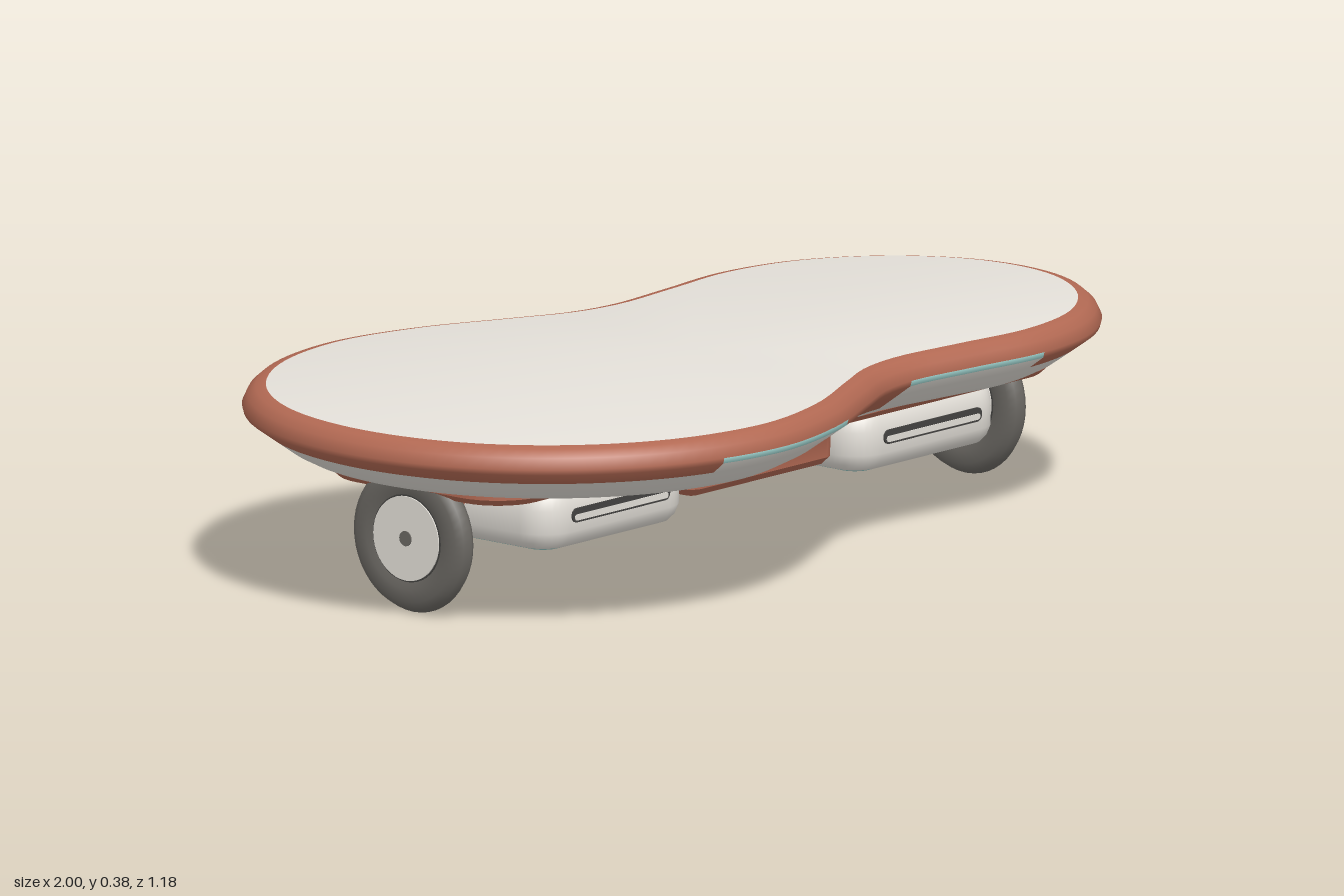
import * as THREE from 'three';
import { toCreasedNormals } from 'three/addons/utils/BufferGeometryUtils.js';

const mat = (name, color) => Object.assign(new THREE.MeshStandardMaterial({ color }), { name });
const terracotta = mat('terracotta', 0xb26953);
const lightGrey = mat('light grey', 0xe4e0d9);
const teal = mat('teal', 0xa0d3cf);
const tyreGrey = mat('tyre grey', 0x6a6762);
const darkGrey = mat('dark grey', 0x444341);

// Rounded rectangle outline in x and z
function roundedRect(w, d, r, n = 8) {
  const pts = [];
  for (let c = 0; c < 4; c++) {
    const sx = c === 0 || c === 3 ? 1 : -1, sz = c < 2 ? 1 : -1;
    for (let i = 0; i <= n; i++) {
      const a = (c + i / n) * Math.PI / 2;
      pts.push(new THREE.Vector2(sx * (w / 2 - r) + r * Math.cos(a), sz * (d / 2 - r) + r * Math.sin(a)));
    }
  }
  return pts;
}

// Stacks inset copies of an outline from top to bottom.
// rings: [inset (null = centre point), y, material or rule by x for the band below]
function stack(name, outline, rings, crease = 0.6) {
  const n = outline.length;
  const normals = outline.map((p, i) => {
    const t = outline[(i + 1) % n].clone().sub(outline[(i + n - 1) % n]).normalize();
    return new THREE.Vector2(t.y, -t.x);
  });
  const point = ([inset, y], i) => inset === null ? [0, y, 0]
    : [outline[i].x - normals[i].x * inset, y, outline[i].y - normals[i].y * inset];
  const byMaterial = new Map();
  for (let k = 0; k < rings.length - 1; k++) {
    for (let i = 0; i < n; i++) {
      const j = (i + 1) % n, rule = rings[k][2];
      const m = typeof rule === 'function' ? rule((outline[i].x + outline[j].x) / 2) : rule;
      if (!byMaterial.has(m)) byMaterial.set(m, []);
      const a = point(rings[k], i), b = point(rings[k], j);
      const c = point(rings[k + 1], j), d = point(rings[k + 1], i);
      if (rings[k][0] !== null) byMaterial.get(m).push(...a, ...b, ...c);
      if (rings[k + 1][0] !== null) byMaterial.get(m).push(...a, ...c, ...d);
    }
  }
  const geo = new THREE.BufferGeometry(), all = [], mats = [...byMaterial.keys()];
  mats.forEach((m, i) => {
    const v = byMaterial.get(m);
    geo.addGroup(all.length / 3, v.length / 3, i);
    for (const x of v) all.push(x);
  });
  geo.setAttribute('position', new THREE.Float32BufferAttribute(all, 3));
  const mesh = new THREE.Mesh(toCreasedNormals(geo, crease), mats);
  mesh.name = name;
  return mesh;
}

function add(parent, name, geo, material, x = 0, y = 0, z = 0) {
  const mesh = new THREE.Mesh(geo, material);
  mesh.name = name;
  mesh.position.set(x, y, z);
  parent.add(mesh);
  return mesh;
}

function makeDeck() {
  // Half outline from the narrow end to the wide end, then mirrored
  const half = [[1, 0], [0.973, 0.14], [0.88, 0.28], [0.73, 0.385], [0.55, 0.425], [0.36, 0.41],
    [0.2, 0.398], [0.1, 0.415], [0, 0.46], [-0.2, 0.55], [-0.41, 0.59], [-0.64, 0.543],
    [-0.83, 0.415], [-0.955, 0.23], [-1, 0]];
  const loop = [...half, ...half.slice(1, -1).reverse().map(([x, z]) => [x, -z])];
  const curve = new THREE.CatmullRomCurve3(loop.map(([x, z]) => new THREE.Vector3(x, 0, z)), true);
  const outline = curve.getSpacedPoints(160).slice(0, 160).map(p => new THREE.Vector2(p.x, p.z));

  // Teal edge strips sit between the terracotta waist and ends
  const waist = x => x > -0.14 && x < 0.2;
  const strip = x => !waist(x) && x > -0.55 && x < 0.55;
  const edge = x => strip(x) ? teal : terracotta;
  const outerBevel = x => strip(x) ? lightGrey : terracotta;
  const innerBevel = x => waist(x) ? terracotta : lightGrey;
  return stack('deck', outline, [
    [null, 0.384, lightGrey], [0.046, 0.384, terracotta], [0.026, 0.38, terracotta],
    [0.01, 0.366, terracotta], [0, 0.345, edge], [0.003, 0.334, outerBevel],
    [0.036, 0.31, innerBevel], [0.078, 0.28, lightGrey], [0.105, 0.266, lightGrey], [null, 0.266]], 0.9);
}

// Rounded pod with a coloured base and a slot on front and back
function makePod(side) {
  const pod = new THREE.Group();
  pod.name = side > 0 ? 'leftPod' : 'rightPod';
  pod.add(stack('podBody', roundedRect(0.43, 0.44, 0.07), [
    [null, 0.245, lightGrey], [0.02, 0.245, lightGrey], [0.006, 0.225, lightGrey],
    [0, 0.2, lightGrey], [0, 0.155, lightGrey], [0.008, 0.135, lightGrey],
    [0.02, 0.123, teal], [0.035, 0.118, teal], [null, 0.118]], 0.9));
  const slot = (w, h, depth) => {
    const s = new THREE.Shape(), r = h / 2, e = w / 2 - r;
    s.absarc(e, 0, r, -Math.PI / 2, Math.PI / 2);
    s.absarc(-e, 0, r, Math.PI / 2, Math.PI * 1.5);
    return new THREE.ExtrudeGeometry(s, { depth, bevelEnabled: false }).translate(0, 0, -depth / 2);
  };
  for (const z of [-0.22, 0.22]) {
    add(pod, 'slotRim', slot(0.285, 0.028, 0.006), darkGrey, 0, 0.186, z);
    add(pod, 'slotInset', slot(0.272, 0.012, 0.009), lightGrey, 0, 0.182, z);
  }
  // Small terracotta panel on the outer face
  add(pod, 'sidePanel', new THREE.BoxGeometry(0.008, 0.045, 0.04), terracotta, side * 0.213, 0.19, -0.135);
  pod.position.x = side * 0.455;
  return pod;
}

function makeWheel(side) {
  const wheel = new THREE.Group();
  wheel.name = side > 0 ? 'leftWheel' : 'rightWheel';
  // Rounded tyre section revolved about the axle
  const section = [[0.08, -0.017], [0.1, -0.024], [0.125, -0.023], [0.14, -0.014], [0.148, 0],
    [0.14, 0.014], [0.125, 0.023], [0.1, 0.024], [0.08, 0.017]];
  const tyre = new THREE.LatheGeometry(section.map(p => new THREE.Vector2(...p)), 48);
  add(wheel, 'tyre', tyre, tyreGrey);
  add(wheel, 'hubRing', new THREE.CylinderGeometry(0.086, 0.086, 0.041, 40), darkGrey);
  add(wheel, 'hub', new THREE.CylinderGeometry(0.083, 0.083, 0.046, 40), lightGrey);
  add(wheel, 'axleCap', new THREE.CylinderGeometry(0.015, 0.015, 0.05, 16), tyreGrey);
  wheel.rotation.z = Math.PI / 2;
  wheel.position.set(side * 0.806, 0.149, 0);
  return wheel;
}

// Curved arm from the chassis down to the axle, with a light grey underside
function makeArm(side) {
  const s = new THREE.Shape();
  s.moveTo(0.66, 0.245);
  s.quadraticCurveTo(0.73, 0.2, 0.765, 0.11);
  s.lineTo(0.79, 0.11);
  s.lineTo(0.79, 0.16);
  s.quadraticCurveTo(0.75, 0.2, 0.7, 0.245);
  const geo = new THREE.ExtrudeGeometry(s, { depth: 0.09, bevelEnabled: false, curveSegments: 10 });
  geo.translate(0, 0, -0.045);
  if (side < 0) geo.rotateY(Math.PI);
  const arm = new THREE.Mesh(geo, [terracotta, lightGrey]);
  arm.name = side > 0 ? 'leftWheelArm' : 'rightWheelArm';
  return arm;
}

export function createModel() {
  const model = new THREE.Group();
  model.name = 'board';
  model.add(makeDeck());

  // Chassis plate under the deck
  model.add(stack('chassis', roundedRect(1.66, 0.5, 0.11), [
    [null, 0.272, terracotta], [0, 0.272, terracotta], [0, 0.25, terracotta],
    [0.015, 0.237, terracotta], [null, 0.237]]));

  // Central housing with a light grey base
  model.add(stack('centreHousing', roundedRect(0.46, 0.42, 0.05), [
    [null, 0.24, terracotta], [0, 0.24, terracotta], [0.018, 0.215, terracotta],
    [0.02, 0.165, terracotta], [0.035, 0.15, terracotta], [0.045, 0.149, lightGrey], [null, 0.149]]));

  for (const side of [1, -1]) model.add(makePod(side), makeWheel(side), makeArm(side));
  return model;
}
